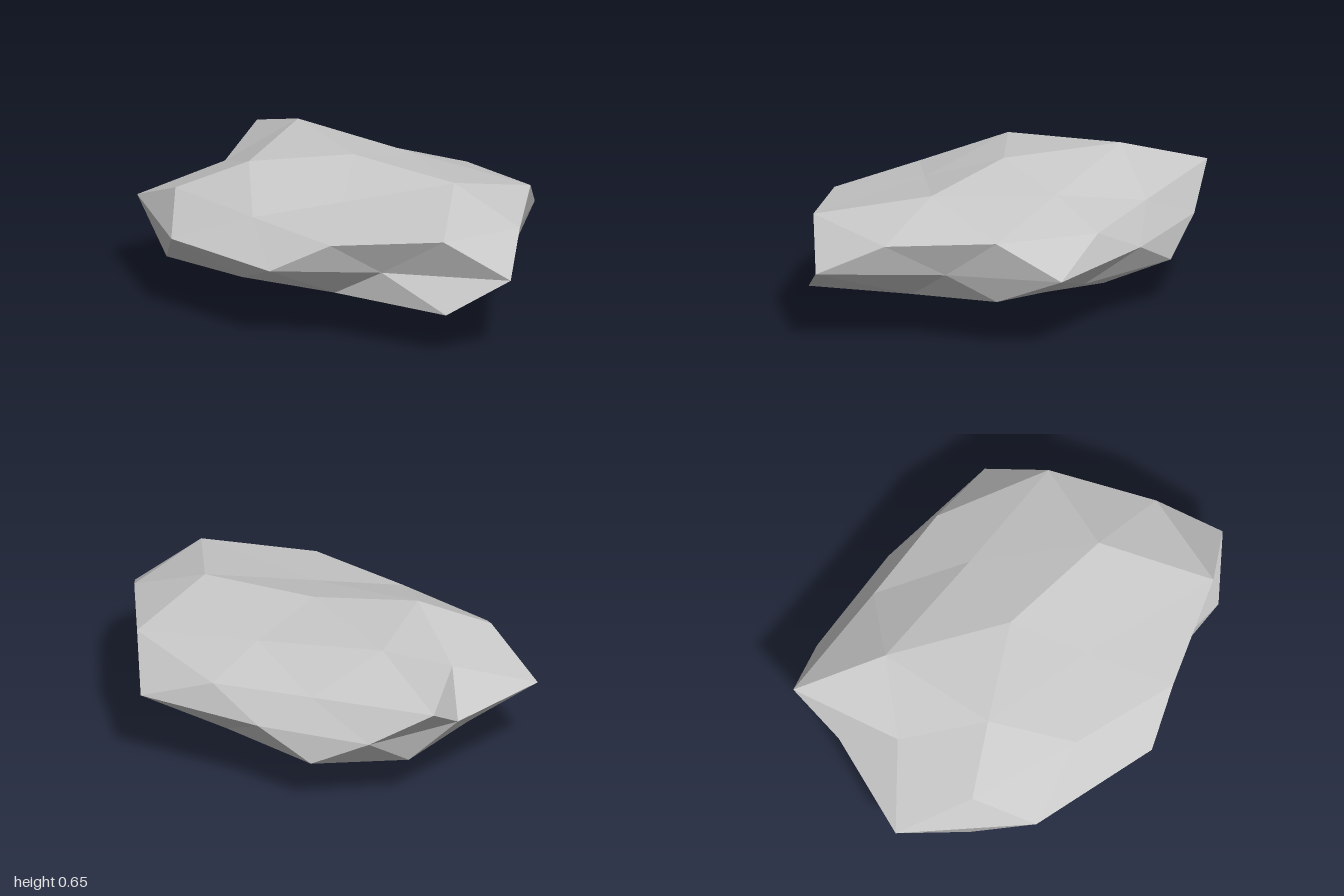
import * as THREE from 'three';

// Overall stretch and centre of the boulder
const STRETCH = new THREE.Vector3(1, 0.39, 1.25);
const CENTRE = new THREE.Vector3(0, 0.345, -0.06);

// A ring of points at one latitude, each pushed out to its own radius
function ring(height, startDeg, radii) {
  const flat = Math.sqrt(1 - height * height);
  return radii.map((r, i) => {
    const a = THREE.MathUtils.degToRad(startDeg + (i * 360) / radii.length);
    return new THREE.Vector3(Math.cos(a) * flat, height, -Math.sin(a) * flat)
      .multiplyScalar(r).multiply(STRETCH).add(CENTRE);
  });
}

function boulderGeometry() {
  // Rings from the top pole to the bottom pole
  const [top] = ring(1, 0, [0.77]);
  const capTop = ring(0.8507, 0, [0.675, 0.87, 0.79, 0.6, 0.83]);
  const upper = ring(0.4472, 0, [0.715, 0.888, 0.79, 0.757, 0.805]);
  const upperMid = ring(0.5257, 36, [0.67, 0.655, 0.67, 0.872, 0.825]);
  const waist = ring(0, 18, [0.655, 0.716, 0.686, 0.852, 0.808, 0.757, 0.612, 0.848, 0.627, 0.803]);
  const lowerMid = ring(-0.5257, 0, [0.645, 0.74, 0.872, 0.64, 0.65]);
  const lower = ring(-0.4472, 36, [0.748, 0.69, 0.705, 0.85, 0.705]);
  const capBottom = ring(-0.8507, 36, [0.76, 0.7, 0.66, 0.72, 0.65]);
  const [bottom] = ring(-1, 0, [0.885]);

  // Each large triangle is split into four facets
  const points = [];
  const split = (a, b, c, ab, bc, ca) =>
    points.push(a, ab, ca, ab, b, bc, ca, bc, c, ab, bc, ca);

  for (let k = 0; k < 5; k++) {
    const n = (k + 1) % 5;
    const w0 = waist[2 * k], w1 = waist[2 * k + 1], w2 = waist[(2 * k + 2) % 10];
    split(top, upper[k], upper[n], capTop[k], upperMid[k], capTop[n]);
    split(upper[k], lower[k], upper[n], w0, w1, upperMid[k]);
    split(upper[n], lower[k], lower[n], w1, lowerMid[n], w2);
    split(bottom, lower[n], lower[k], capBottom[n], lowerMid[n], capBottom[k]);
  }

  const geometry = new THREE.BufferGeometry().setFromPoints(points);
  geometry.computeVertexNormals(); // unshared corners give flat facets
  return geometry;
}

export function createModel() {
  const group = new THREE.Group();
  group.name = 'rock';

  const stone = new THREE.MeshStandardMaterial({ color: 0xc8c8c8 });
  stone.name = 'stone grey';
  stone.flatShading = true;

  const boulder = new THREE.Mesh(boulderGeometry(), stone);
  boulder.name = 'boulder';
  group.add(boulder);
  return group;
}
